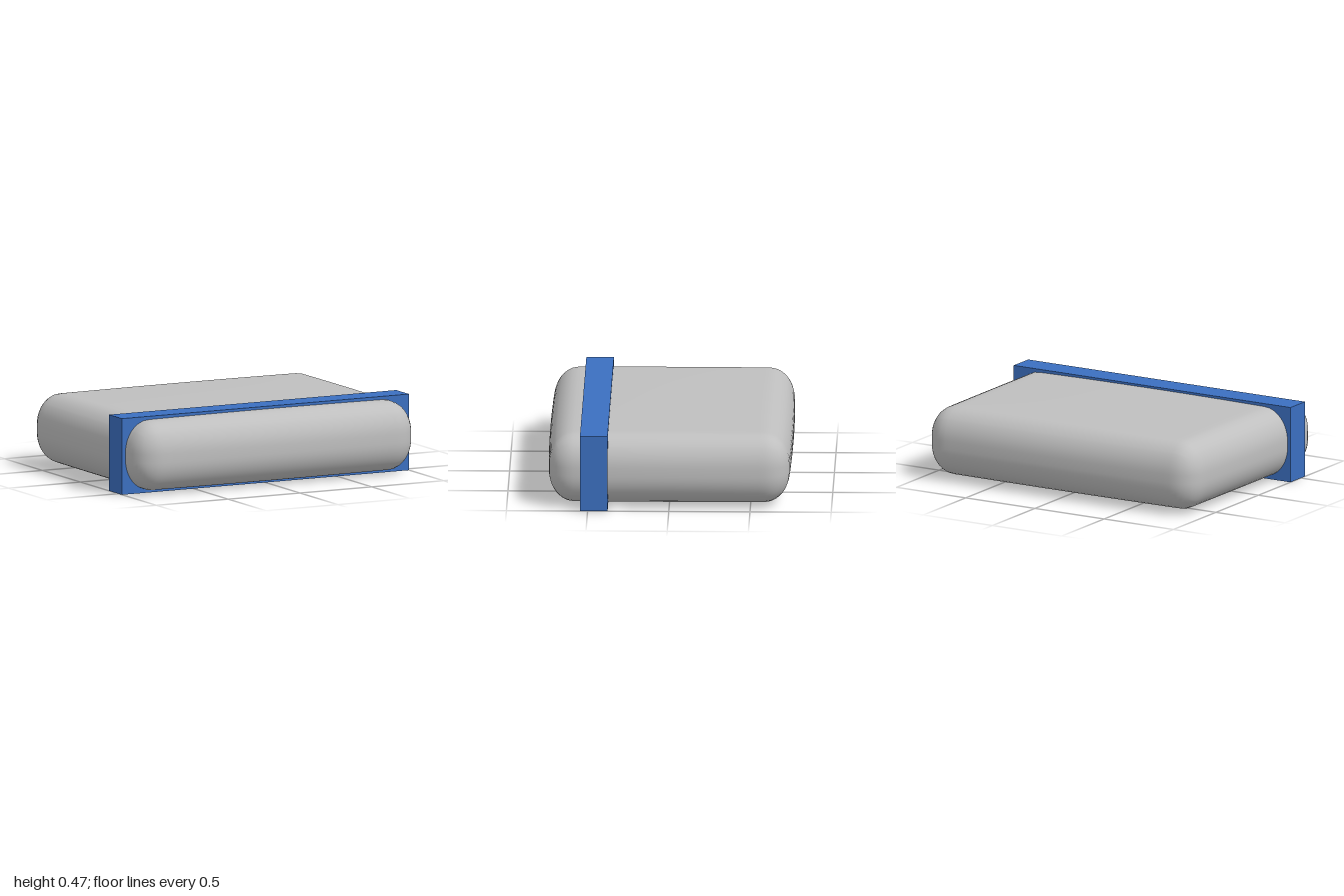
import * as THREE from 'three';
import { mergeVertices } from 'three/addons/utils/BufferGeometryUtils.js';

// Box with softly rounded edges and slightly swollen faces
function pillowGeometry(half, radius, bulge) {
  let geo = new THREE.BoxGeometry(half.x * 2, half.y * 2, half.z * 2, 48, 16, 40);
  geo.deleteAttribute('uv');
  geo.deleteAttribute('normal');
  geo = mergeVertices(geo, 1e-5);
  const pos = geo.attributes.position;
  const inner = half.clone().sub(radius);
  const p = new THREE.Vector3();
  const core = new THREE.Vector3();
  for (let i = 0; i < pos.count; i++) {
    p.fromBufferAttribute(pos, i);
    core.copy(p).clamp(inner.clone().negate(), inner);
    // push the outer shell onto an ellipsoidal corner around the core
    p.sub(core).divide(radius).normalize().multiply(radius).add(core);
    // swell each face towards its middle
    const u = p.clone().divide(half);
    const [a, b, c] = [1 - u.x * u.x, 1 - u.y * u.y, 1 - u.z * u.z];
    p.x += bulge * u.x * b * c;
    p.y += bulge * u.y * a * c;
    p.z += bulge * u.z * a * b;
    pos.setXYZ(i, p.x, p.y, p.z);
  }
  geo.computeVertexNormals();
  return geo;
}

export function createModel() {
  const group = new THREE.Group();
  const grey = new THREE.MeshStandardMaterial({ name: 'light grey', color: 0xbfbfbf });
  const blue = new THREE.MeshStandardMaterial({ name: 'blue', color: 0x3b6fc0 });

  // Soft cushion body
  const cushion = new THREE.Mesh(
    pillowGeometry(
      new THREE.Vector3(0.97, 0.215, 0.738),
      new THREE.Vector3(0.15, 0.19, 0.15),
      0.012
    ),
    grey
  );
  cushion.name = 'cushion';
  cushion.position.y = 0.238;
  group.add(cushion);

  // Band wrapped around the front end
  const band = new THREE.Mesh(new THREE.BoxGeometry(2, 0.475, 0.17), blue);
  band.name = 'band';
  band.position.set(0, 0.2375, 0.462);
  group.add(band);

  return group;
}
